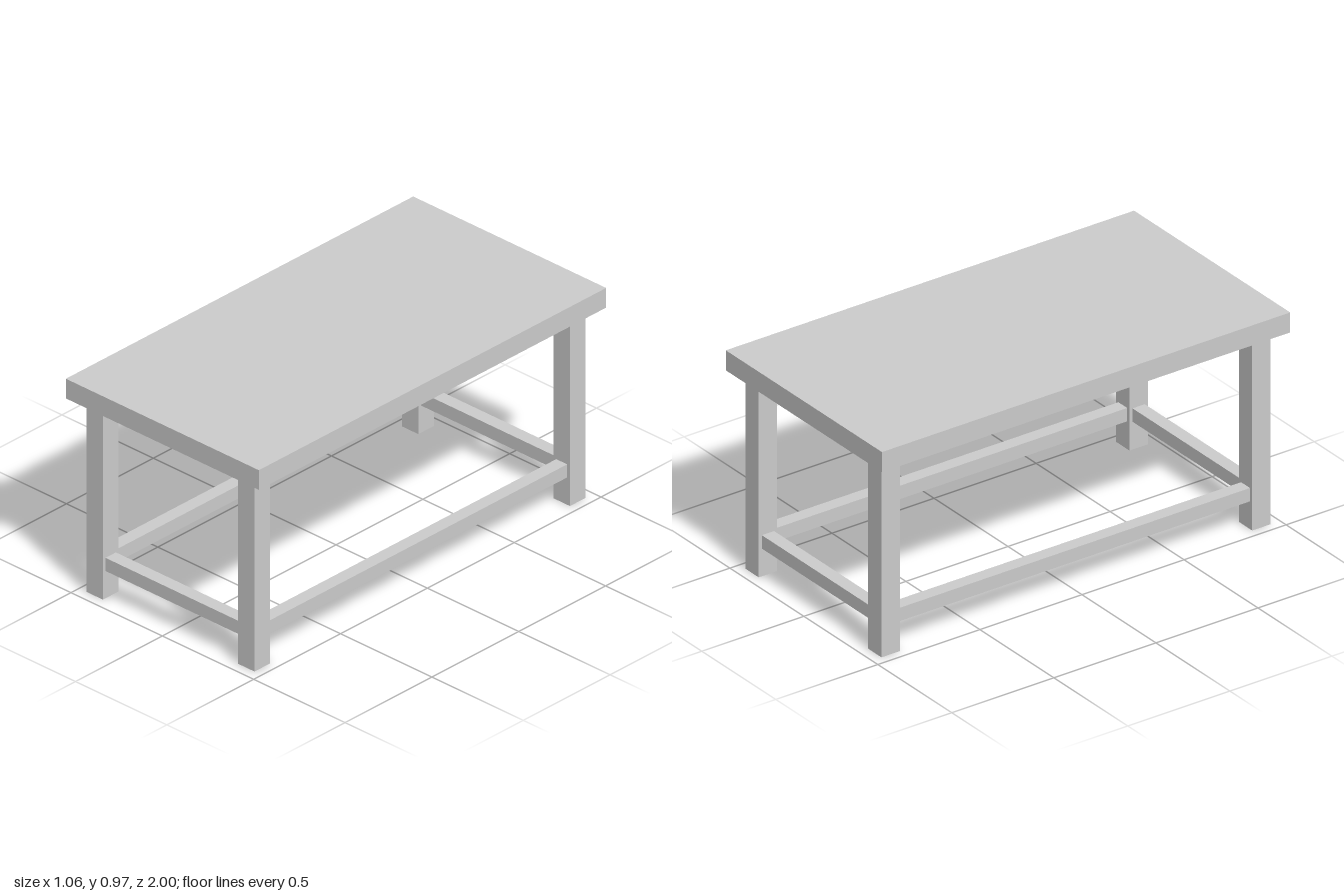
import * as THREE from 'three';

export function createModel() {
  const group = new THREE.Group();
  group.name = 'table';
  const material = new THREE.MeshStandardMaterial({ color: 0xcccccc, flatShading: true });

  const addBox = (name, w, h, d, x, y, z) => {
    const mesh = new THREE.Mesh(new THREE.BoxGeometry(w, h, d), material);
    mesh.name = name;
    mesh.position.set(x, y, z);
    group.add(mesh);
  };

  const height = 0.968, topThickness = 0.09;
  const legHeight = height - topThickness;
  const leg = 0.09, legX = 0.415, legZ = 0.908; // leg section and centres
  const rail = 0.06, railY = 0.155;

  // Thick slab top
  addBox('tableTop', 1.056, topThickness, 2, 0, height - topThickness / 2, 0);

  for (const s of [1, -1]) {
    const side = s > 0 ? 'left' : 'right';
    const end = s > 0 ? 'front' : 'back';

    // Square legs
    addBox(`${side}FrontLeg`, leg, legHeight, leg, s * legX, legHeight / 2, legZ);
    addBox(`${side}BackLeg`, leg, legHeight, leg, s * legX, legHeight / 2, -legZ);

    // Stretcher rails, centred between the legs
    addBox(`${side}Rail`, rail, rail, 2 * legZ - leg, s * legX, railY, 0);
    addBox(`${end}Rail`, 2 * legX - leg, rail, rail, 0, railY, s * legZ);
  }

  return group;
}
